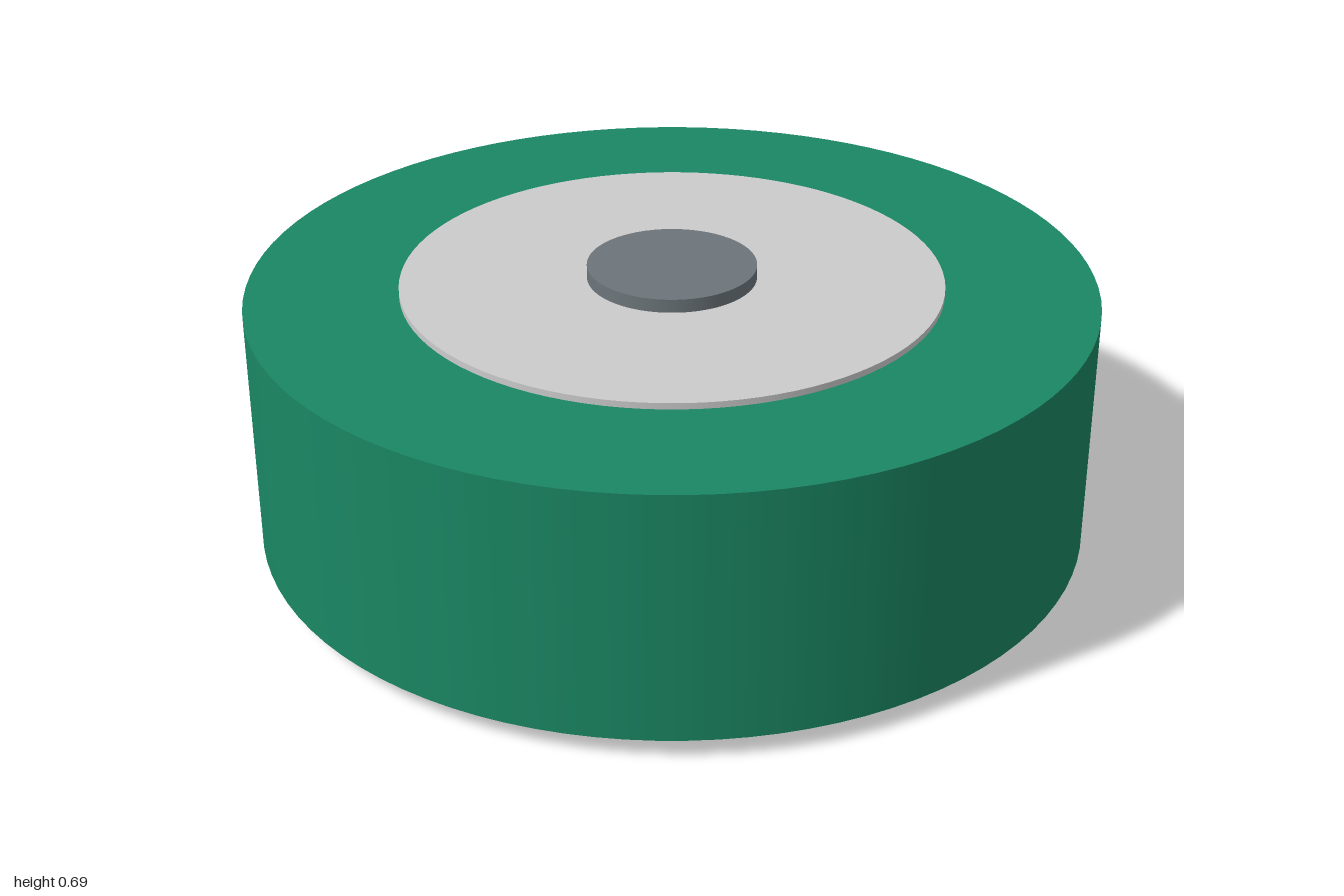
import * as THREE from 'three';

const HEIGHT = 0.69;

// Upright disc, centred on the model's mid-height
function disc(name, radius, thickness, color, segments) {
  const mesh = new THREE.Mesh(
    new THREE.CylinderGeometry(radius, radius, thickness, segments),
    new THREE.MeshStandardMaterial({ color })
  );
  mesh.name = name;
  mesh.position.y = HEIGHT / 2;
  return mesh;
}

// Ring with a bore, turned from a closed rectangular profile
function ring(name, inner, outer, thickness, color, segments) {
  const h = thickness / 2;
  const corners = [[inner, -h], [outer, -h], [outer, h], [inner, h], [inner, -h]];
  const group = new THREE.Group();
  group.name = name;
  group.position.y = HEIGHT / 2;
  const material = new THREE.MeshStandardMaterial({ color });
  // Each side is turned separately so the rims stay sharp
  for (let i = 0; i < 4; i++) {
    const side = [corners[i], corners[i + 1]].map(([x, y]) => new THREE.Vector2(x, y));
    const mesh = new THREE.Mesh(new THREE.LatheGeometry(side, segments), material);
    mesh.name = `${name}${['Bottom', 'Outside', 'Top', 'Bore'][i]}`;
    group.add(mesh);
  }
  return group;
}

export function createModel() {
  const model = new THREE.Group();
  model.name = 'rollerWheel';
  model.add(
    ring('tyre', 0.64, 1, 0.595, 0x1a8763, 96), // green tread
    ring('hub', 0.2, 0.64, 0.625, 0xc0c2be, 96), // slightly proud of the tyre
    disc('axle', 0.2, HEIGHT, 0x6c757a, 64) // pin through the hub
  );
  return model;
}
